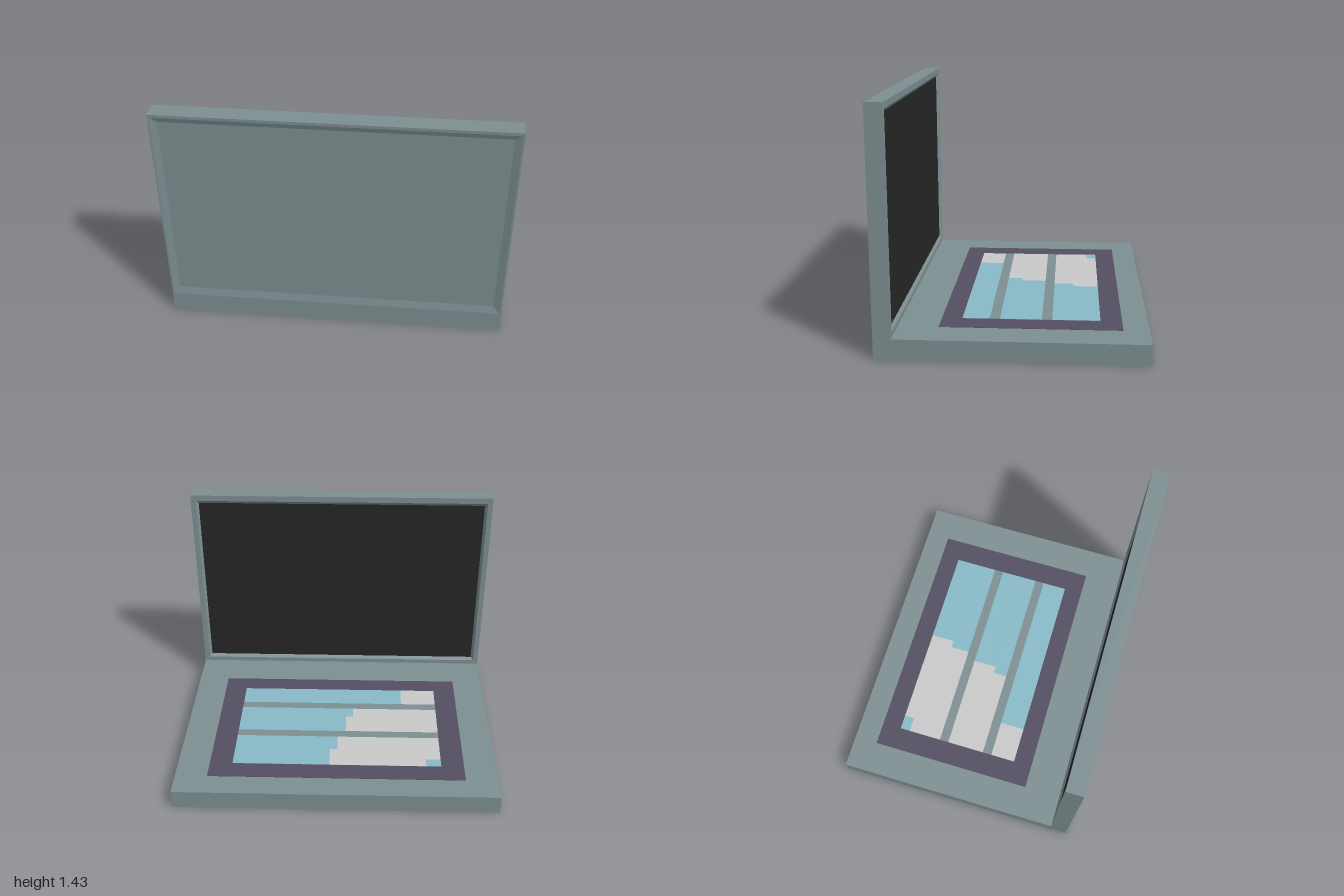
import * as THREE from 'three';

const mat = (name, color) => new THREE.MeshStandardMaterial({ name, color });

// Rectangle loop, counter-clockwise seen from +z
const rect = (hx, y0, y1, z) => [[-hx, y0, z], [hx, y0, z], [hx, y1, z], [-hx, y1, z]];

// Joins consecutive loops with flat quads and caps the first one
function skin(loops) {
  const pos = [];
  const quad = (a, b, c, d) => [a, b, c, a, c, d].forEach((p) => pos.push(...p));
  quad(...loops[0]);
  for (let i = 0; i + 1 < loops.length; i++) {
    for (let j = 0; j < 4; j++) {
      const k = (j + 1) % 4;
      quad(loops[i][j], loops[i + 1][j], loops[i + 1][k], loops[i][k]);
    }
  }
  const geo = new THREE.BufferGeometry();
  geo.setAttribute('position', new THREE.Float32BufferAttribute(pos, 3));
  geo.computeVertexNormals();
  return geo;
}

export function createModel() {
  const body = mat('grey casing', 0x7d8f92);
  const purple = mat('dark purple surround', 0x534e61);
  const blue = mat('pale blue keys', 0x88bac7);
  const white = mat('light grey keys', 0xc9c9c9);
  const black = mat('dark screen', 0x262626);

  const model = new THREE.Group();
  model.name = 'laptop';
  const add = (name, geo, material, x = 0, y = 0, z = 0, parent = model) => {
    const mesh = new THREE.Mesh(geo, material);
    mesh.name = name;
    mesh.position.set(x, y, z);
    parent.add(mesh);
    return mesh;
  };

  // Base slab
  const top = 0.12;
  add('base', new THREE.BoxGeometry(2, top, 1.435), body, 0, top / 2, -0.0525);

  // Upright lid with a shallow bevelled recess on both faces
  add('lid', skin([
    rect(0.95, 0.18, 1.38, 0.757),
    rect(0.99, 0.13, 1.41, 0.768),
    rect(1, 0, 1.428, 0.768),
    rect(1, 0, 1.428, 0.665),
    rect(0.967, 0.15, 1.39, 0.665),
    rect(0.95, 0.17, 1.37, 0.68),
  ]), body);
  const screen = add('screen', new THREE.PlaneGeometry(1.9, 1.2), black, 0, 0.77, 0.68);
  screen.rotation.y = Math.PI;

  // Keyboard: thin painted plates laid on the base, one level above another
  const keyboard = new THREE.Group();
  keyboard.name = 'keyboard';
  model.add(keyboard);
  const plate = (name, x0, x1, z0, z1, level, material) => {
    const h = 0.0015 * level;
    add(name, new THREE.BoxGeometry(x1 - x0, h, z1 - z0), material,
      (x0 + x1) / 2, top + h / 2, (z0 + z1) / 2, keyboard);
  };
  plate('keyboardSurround', -0.8, 0.8, -0.62, 0.43, 1, purple);

  // Grey dividers between the rows
  for (const z of [-0.185, 0.12]) plate('rowDivider', -0.657, 0.657, z - 0.03, z + 0.03, 2, body);

  // Key rows: [z start, z end, x where light keys give way to blue]
  const rows = [
    [-0.495, -0.34, 0.047],
    [-0.34, -0.215, 0],
    [-0.155, 0, -0.05],
    [0, 0.09, -0.097],
    [0.15, 0.31, -0.425],
  ];
  for (const [z0, z1, split] of rows) {
    plate('lightKeys', -0.657, split, z0, z1, 2, white);
    plate('blueKeys', split, 0.657, z0, z1, 2, blue);
  }
  plate('cornerKey', -0.657, -0.565, -0.495, -0.43, 3, blue);

  return model;
}
